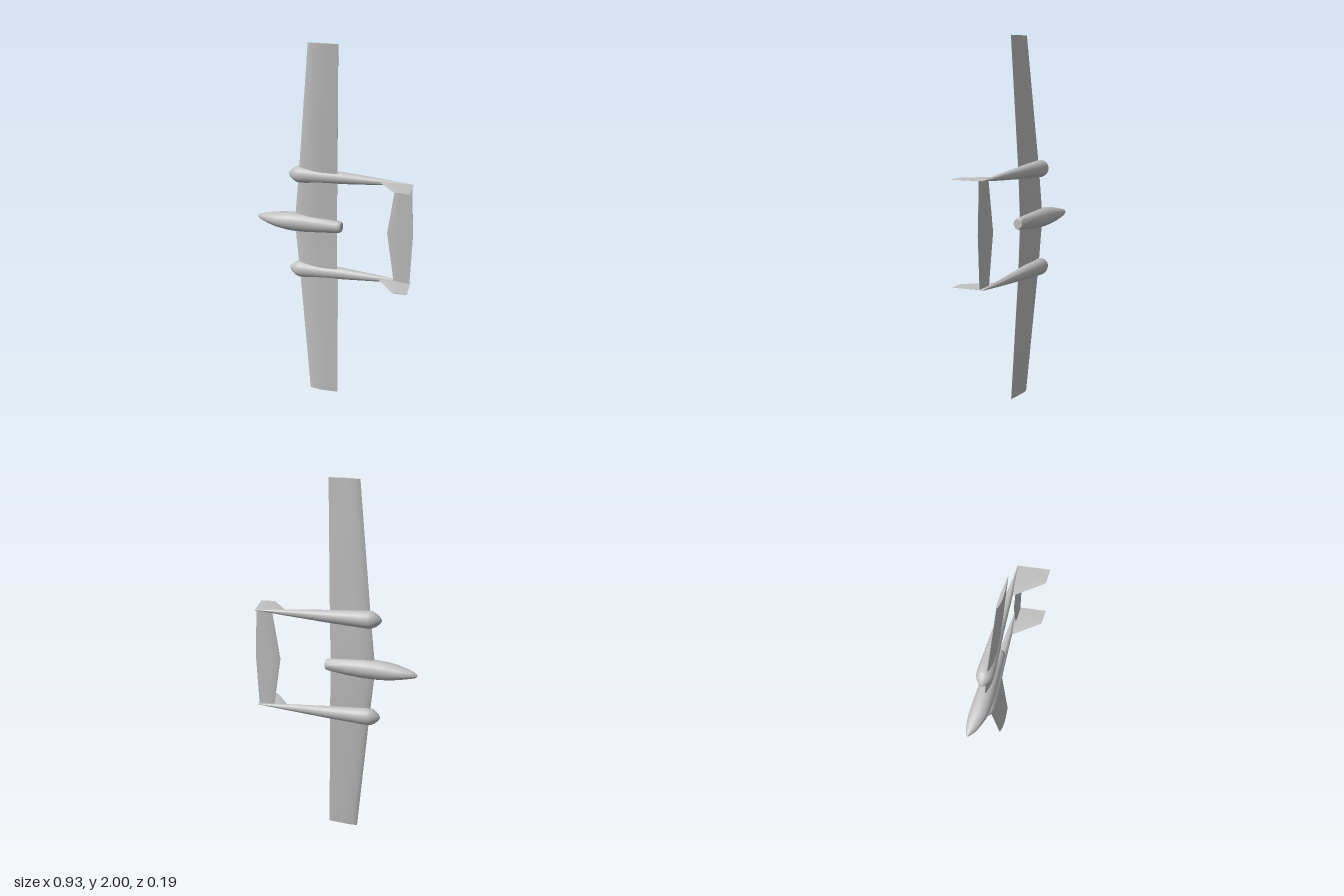
import * as THREE from 'three';
import { toCreasedNormals } from 'three/addons/utils/BufferGeometryUtils.js';

const grey = new THREE.MeshStandardMaterial({ color: 0xc0c0c0 });
grey.name = 'light grey';

// Skin a list of equal-length rings and close both ends with fans
function loft(name, rings, crease = 0.7) {
  const n = rings[0].length, pos = [], idx = [];
  rings.forEach(r => r.forEach(p => pos.push(...p)));
  for (let i = 0; i < rings.length - 1; i++)
    for (let j = 0; j < n; j++) {
      const a = i * n + j, b = i * n + (j + 1) % n;
      idx.push(a, b, a + n, b, b + n, a + n);
    }
  [0, rings.length - 1].forEach((i, end) => {
    const c = pos.length / 3;
    pos.push(...[0, 1, 2].map(k => rings[i].reduce((s, p) => s + p[k], 0) / n));
    for (let j = 0; j < n; j++) {
      const a = i * n + j, b = i * n + (j + 1) % n;
      end ? idx.push(c, a, b) : idx.push(c, b, a);
    }
  });
  // Turn the faces outward, judged by the enclosed volume
  const v = k => new THREE.Vector3().fromArray(pos, k * 3);
  let volume = 0;
  for (let i = 0; i < idx.length; i += 3)
    volume += v(idx[i]).dot(v(idx[i + 1]).cross(v(idx[i + 2])));
  if (volume < 0) idx.reverse();
  const g = new THREE.BufferGeometry();
  g.setAttribute('position', new THREE.Float32BufferAttribute(pos, 3));
  g.setIndex(idx);
  const mesh = new THREE.Mesh(toCreasedNormals(g, crease), grey);
  mesh.name = name;
  return mesh;
}

// Body along x; stations are [x, zLow, zHigh, halfWidth]
function body(name, y, stations, sides = 20) {
  return loft(name, stations.map(([x, lo, hi, w]) =>
    Array.from({ length: sides }, (_, i) => {
      const a = (i / sides) * Math.PI * 2;
      return [x, y + w * Math.cos(a), (lo + hi) / 2 + (hi - lo) / 2 * Math.sin(a)];
    })));
}

// Aerofoil outline as [chord fraction, thickness fraction]
const cambered = [[0, 0], [0.04, 0.024], [0.15, 0.05], [0.35, 0.067], [0.6, 0.055], [1, 0.003],
  [1, -0.003], [0.6, -0.028], [0.35, -0.04], [0.15, -0.036], [0.04, -0.02]];
const thin = [[0, 0], [0.08, 0.02], [0.35, 0.03], [1, 0.003],
  [1, -0.003], [0.35, -0.03], [0.08, -0.02]];

export function createModel() {
  const model = new THREE.Group();
  model.name = 'twinBoomAircraft';

  // Main wing, tip to tip, with raised tips: [span, leading x, trailing x, z]
  const half = [[1, -0.13, 0.038, -0.002], [0.278, -0.205, 0.021, -0.038], [0, -0.235, 0.015, -0.045]];
  const span = [...half.map(([s, ...r]) => [1 + s, ...r]),
    ...half.slice(0, 2).reverse().map(([s, ...r]) => [1 - s, ...r])];
  model.add(loft('wing', span.map(([y, le, te, z]) =>
    cambered.map(([c, t]) => [le + c * (te - le), y, z + t * (te - le)]))));

  // Central pod
  model.add(body('fuselage', 1, [
    [-0.467, -0.069, -0.058, 0.008], [-0.455, -0.076, -0.048, 0.015],
    [-0.43, -0.085, -0.03, 0.022], [-0.39, -0.093, -0.013, 0.032],
    [-0.345, -0.097, 0.001, 0.042], [-0.29, -0.098, 0.007, 0.05],
    [-0.24, -0.098, 0.007, 0.053], [-0.17, -0.097, 0.003, 0.052],
    [-0.08, -0.09, -0.005, 0.045], [0.02, -0.078, -0.015, 0.034],
    [0.035, -0.076, -0.017, 0.031], [0.042, -0.072, -0.021, 0.026]]));

  for (const [side, s] of [['Upper', 1], ['Lower', -1]]) {
    const y = 1 + s * 0.278;
    // Tail boom with rounded nose
    model.add(body('boom' + side, y, [
      [-0.265, -0.054, -0.042, 0.006], [-0.258, -0.065, -0.031, 0.017],
      [-0.24, -0.08, -0.016, 0.033], [-0.22, -0.09, -0.005, 0.044],
      [-0.2, -0.094, 0, 0.048], [-0.16, -0.094, -0.002, 0.046],
      [0.04, -0.09, -0.027, 0.033], [0.26, -0.083, -0.048, 0.017],
      [0.36, -0.079, -0.063, 0.008], [0.435, -0.077, -0.073, 0.002]]));
    // Swept fin: [z, leading x, trailing x]
    model.add(loft('fin' + side, [[-0.075, 0.25, 0.434], [-0.048, 0.26, 0.44], [0.095, 0.38, 0.465]]
      .map(([z, le, te]) => thin.map(([c, t]) => [le + c * (te - le), y + t * (te - le), z]))));
  }

  // Tailplane between the booms
  model.add(loft('tailplane', [[0.722, 0.345, 0.435], [1, 0.302, 0.447], [1.278, 0.345, 0.435]]
    .map(([y, le, te]) => thin.map(([c, t]) => [le + c * (te - le), y, -0.053 + t * (te - le)]))));

  return model;
}
